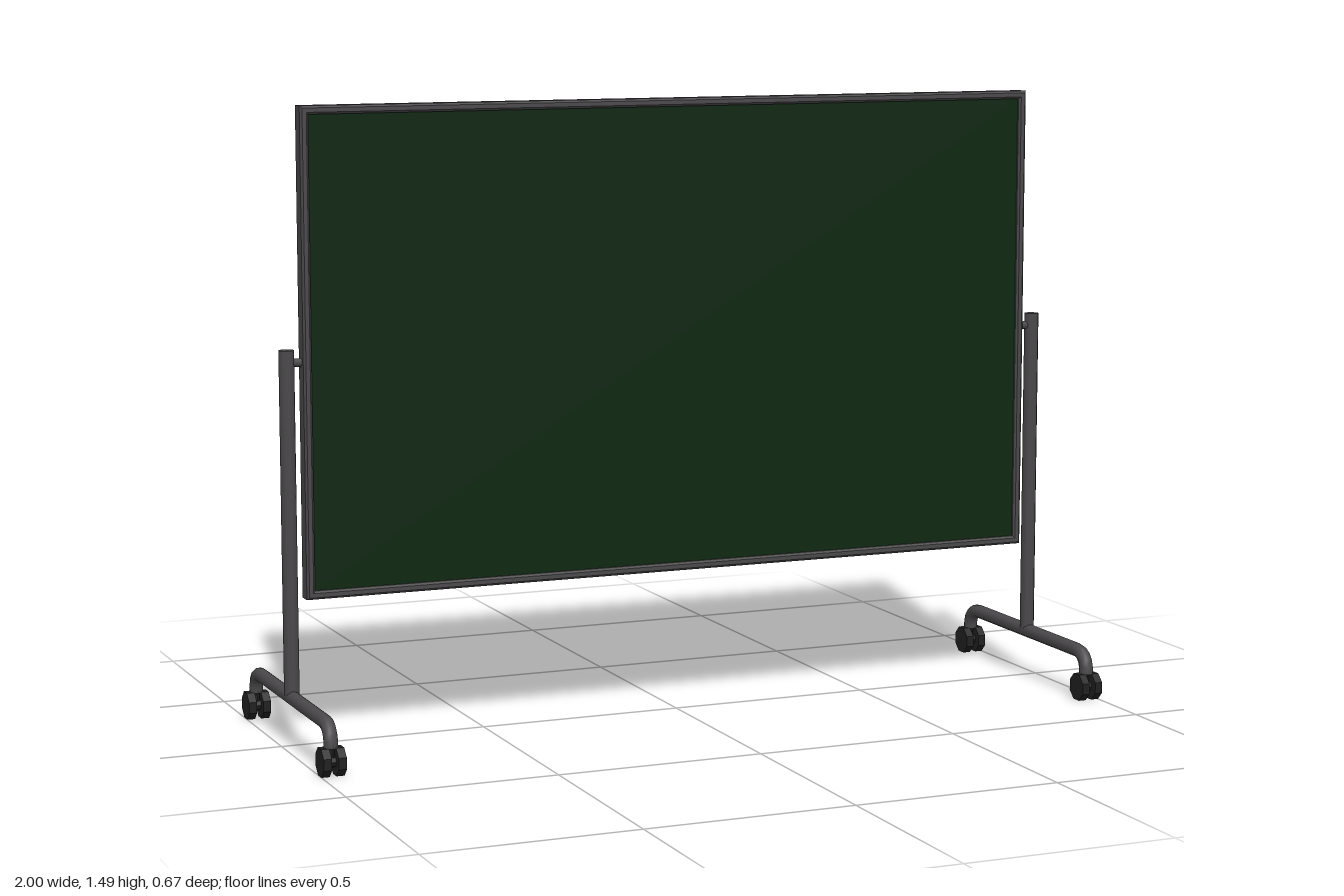
import * as THREE from 'three';

export function createModel() {
  const metal = new THREE.MeshStandardMaterial({ color: 0x4a484a });
  metal.name = 'grey metal';
  const green = new THREE.MeshStandardMaterial({ color: 0x0d2610 });
  green.name = 'dark green board';
  const rubber = new THREE.MeshStandardMaterial({ color: 0x202020, flatShading: true });
  rubber.name = 'black rubber';

  const model = new THREE.Group();
  model.name = 'rollingBoard';
  const add = (parent, name, geometry, material, x = 0, y = 0, z = 0) => {
    const mesh = new THREE.Mesh(geometry, material);
    mesh.name = name;
    mesh.position.set(x, y, z);
    parent.add(mesh);
    return mesh;
  };

  // Frame: chamfered rectangular ring around the writing panel
  const rect = (target, w, h) => target.moveTo(-w, -h).lineTo(w, -h).lineTo(w, h).lineTo(-w, h).closePath();
  const W = 0.938, H = 0.572, midY = 0.918, bevel = 0.005, border = 0.02;
  const ring = rect(new THREE.Shape(), W - bevel, H - bevel);
  ring.holes.push(rect(new THREE.Path(), W - border + bevel, H - border + bevel));
  const frame = new THREE.ExtrudeGeometry(ring, {
    depth: 0.034, bevelEnabled: true, bevelThickness: bevel, bevelSize: bevel, bevelSegments: 1,
  });
  frame.translate(0, 0, -0.017);
  add(model, 'frame', frame, metal, 0, midY);
  add(model, 'writingPanel', new THREE.BoxGeometry(2 * (W - border) + 0.006, 2 * (H - border) + 0.006, 0.024), green, 0, midY);

  // Foot: straight tube with both ends bent down to the casters
  const footZ = 0.304, footY = 0.115, bend = 0.047, r = 0.017;
  const v = (y, z) => new THREE.Vector3(0, y, z);
  const path = new THREE.CurvePath();
  path.add(new THREE.QuadraticBezierCurve3(v(0.064, -footZ), v(footY, -footZ), v(footY, -footZ + bend)));
  path.add(new THREE.LineCurve3(v(footY, -footZ + bend), v(footY, footZ - bend)));
  path.add(new THREE.QuadraticBezierCurve3(v(footY, footZ - bend), v(footY, footZ), v(0.064, footZ)));
  const footGeo = new THREE.TubeGeometry(path, 44, r, 10);

  const postGeo = new THREE.CylinderGeometry(0.018, 0.018, 0.815, 10);
  const capGeo = new THREE.CylinderGeometry(r, r, 0.004, 10);
  const pivotGeo = new THREE.CylinderGeometry(0.01, 0.01, 0.05, 8).rotateZ(Math.PI / 2);
  const wheelGeo = new THREE.CylinderGeometry(0.035, 0.035, 0.019, 8, 1, false, Math.PI / 8).rotateZ(Math.PI / 2);
  const hubGeo = new THREE.CylinderGeometry(0.014, 0.014, 0.02, 8).rotateZ(Math.PI / 2);
  const stemGeo = new THREE.CylinderGeometry(0.008, 0.008, 0.04, 8);

  // Side stands, mirrored
  for (const s of [-1, 1]) {
    const stand = new THREE.Group();
    stand.name = s > 0 ? 'leftStand' : 'rightStand';
    stand.position.x = s * 0.973;
    model.add(stand);
    add(stand, 'post', postGeo, metal, 0, 0.5225);
    add(stand, 'foot', footGeo, metal);
    add(stand, 'pivot', pivotGeo, metal, -s * 0.025, 0.9);

    // Twin-wheel casters
    for (const e of [-1, 1]) {
      const caster = new THREE.Group();
      caster.name = e > 0 ? 'frontCaster' : 'backCaster';
      caster.position.set(0, 0.0325, e * footZ);
      stand.add(caster);
      add(caster, 'tubeCap', capGeo, metal, 0, 0.033);
      add(caster, 'stem', stemGeo, rubber, 0, 0.014);
      add(caster, 'hub', hubGeo, rubber);
      for (const w of [-1, 1]) add(caster, 'wheel', wheelGeo, rubber, w * 0.0175);
    }
  }
  return model;
}
